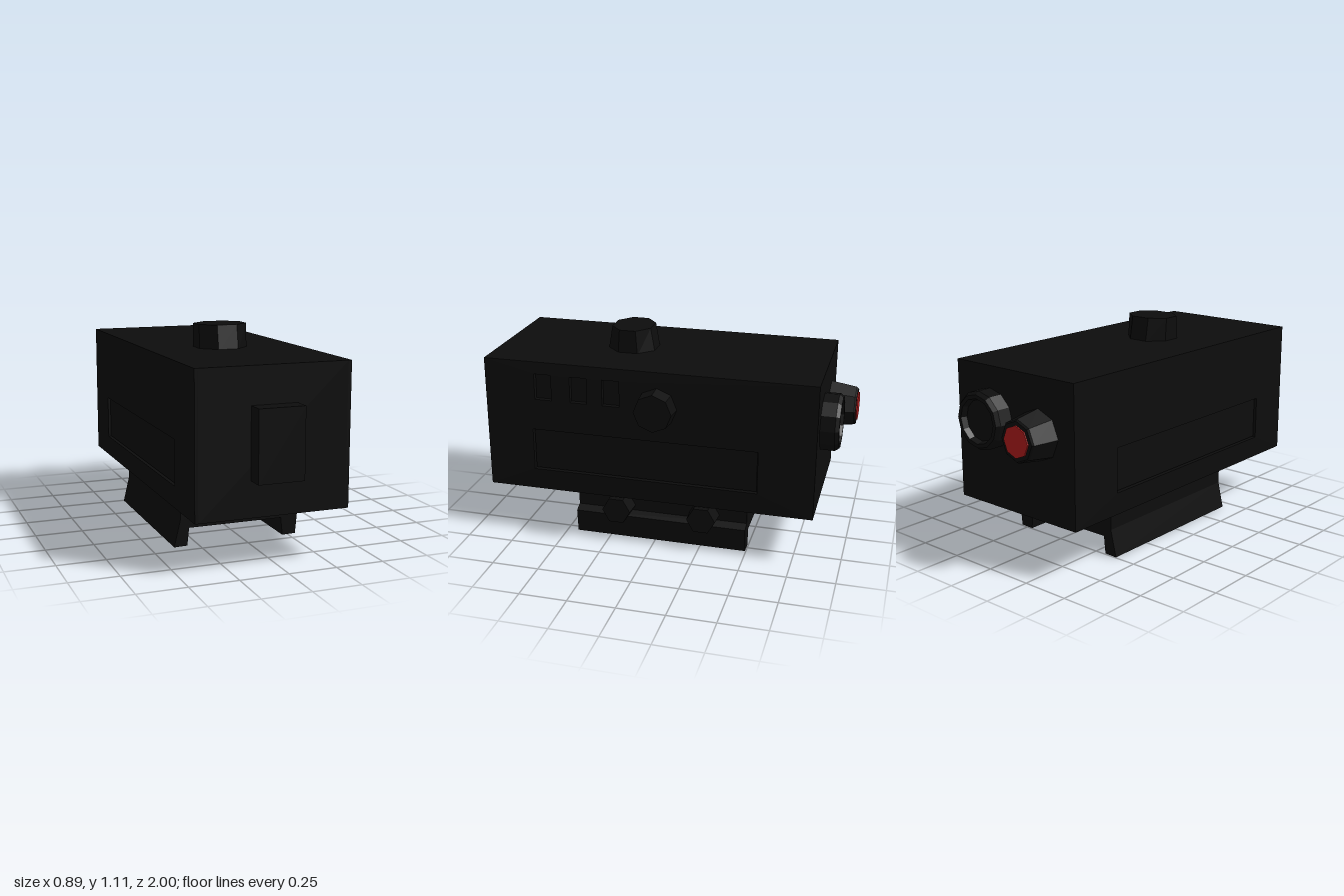
import * as THREE from 'three';

export function createModel() {
  const model = new THREE.Group();
  const black = new THREE.MeshStandardMaterial({ name: 'matte black', color: 0x0d0d0d, flatShading: true });
  const red = new THREE.MeshStandardMaterial({ name: 'lens red', color: 0xb41e1e, flatShading: true });

  const add = (name, geometry, x = 0, y = 0, z = 0, material = black) => {
    const mesh = new THREE.Mesh(geometry, material);
    mesh.name = name;
    mesh.position.set(x, y, z);
    model.add(mesh);
    return mesh;
  };
  const points = list => list.map(([x, y]) => new THREE.Vector2(x, y));
  const rect = (a, b, c, d) => points([[a, c], [b, c], [b, d], [a, d]]);

  const FRONT = 0.91, BACK = -0.85, BOTTOM = 0.262, TOP = 0.983;

  // Housing: a core block with a recessed, slightly bowed plate on each side
  add('housingCore', new THREE.BoxGeometry(0.755, TOP - BOTTOM, FRONT - BACK),
    -0.0425, (TOP + BOTTOM) / 2, (FRONT + BACK) / 2);

  const sidePlate = (name, side, x, openings) => {
    const outline = (z1, z2, y1, y2) => {
      const [a, b] = [-side * z1, -side * z2].sort((p, q) => p - q);
      return rect(a, b, y1, y2);
    };
    const shape = new THREE.Shape(outline(BACK, FRONT, BOTTOM, TOP));
    openings.forEach(o => shape.holes.push(new THREE.Path(outline(...o).reverse())));
    const depth = 0.027;
    const geometry = new THREE.ExtrudeGeometry(shape, { depth, bevelEnabled: false });
    // Draw the outer corners in so the side swells gently
    const p = geometry.attributes.position;
    for (let i = 0; i < p.count; i++) {
      const atCorner = p.getY(i) > TOP - 0.01 || p.getY(i) < BOTTOM + 0.01;
      if (atCorner && p.getZ(i) > depth / 2) p.setZ(i, depth - 0.01);
    }
    geometry.rotateY(side * Math.PI / 2);
    geometry.computeVertexNormals();
    add(name, geometry, x);
  };
  const panel = [-0.56, 0.65, 0.38, 0.61];
  const slots = [0.585, 0.39, 0.215].map(z => [z - 0.046, z + 0.046, 0.78, 0.92]);
  sidePlate('leftSidePlate', 1, 0.335, [panel, ...slots]);
  sidePlate('rightSidePlate', -1, -0.42, [panel]);

  // Inset side panels, just below the plate surface
  add('leftPanel', new THREE.BoxGeometry(0.014, 0.22, 1.2), 0.341, 0.495, 0.045);
  add('rightPanel', new THREE.BoxGeometry(0.014, 0.22, 1.2), -0.427, 0.495, 0.045);

  // Front window block
  add('frontBlock', new THREE.BoxGeometry(0.235, 0.355, 0.1), -0.043, 0.62, 0.95);

  // Top dial, pinched fore and aft at its top
  const dial = new THREE.CylinderGeometry(0.14, 0.14, 0.135, 8).rotateY(Math.PI / 8);
  const dp = dial.attributes.position;
  for (let i = 0; i < dp.count; i++) if (dp.getY(i) > 0) dp.setZ(i, dp.getZ(i) * 0.82);
  add('topDial', dial, -0.045, 1.038, 0.205);

  // Side dial
  add('sideDial', new THREE.CylinderGeometry(0.1, 0.108, 0.1, 8).rotateZ(-Math.PI / 2),
    0.397, 0.795, -0.03);

  // Battery cap with a raised rim around a sunken face
  const cap = new THREE.LatheGeometry(points([
    [0.15, 0], [0.15, 0.075], [0.135, 0.095], [0.115, 0.095], [0.105, 0.065], [0, 0.065],
  ]), 12);
  add('batteryCap', cap.rotateX(-Math.PI / 2), 0.12, 0.72, BACK);

  // Emitter barrel with a red lens
  const barrel = new THREE.LatheGeometry(points([
    [0.13, 0], [0.108, 0.135], [0.1, 0.143], [0, 0.143],
  ]), 8);
  add('emitterBarrel', barrel.rotateX(-Math.PI / 2), -0.205, 0.695, BACK);
  add('emitterLens', new THREE.CylinderGeometry(0.08, 0.08, 0.008, 8).rotateX(Math.PI / 2),
    -0.205, 0.695, -0.996, red);

  // Mounting rail with two splayed jaws
  const rail = new THREE.Shape(points([
    [-0.347, 0.27], [-0.347, 0.14], [-0.38, 0], [-0.31, 0.002], [-0.3, 0.095], [0.21, 0.095],
    [0.22, 0], [0.293, 0.002], [0.305, 0.13], [0.26, 0.15], [0.26, 0.27],
  ].reverse()));
  add('mountingRail', new THREE.ExtrudeGeometry(rail, { depth: 0.935, bevelEnabled: false }), 0, 0, -0.495);

  // Clamp bolts
  for (const z of [0.2, -0.265]) {
    const bolt = new THREE.CylinderGeometry(0.077, 0.082, 0.1, 6).rotateZ(-Math.PI / 2);
    add('clampBolt', bolt, 0.305, 0.18, z);
  }

  return model;
}
